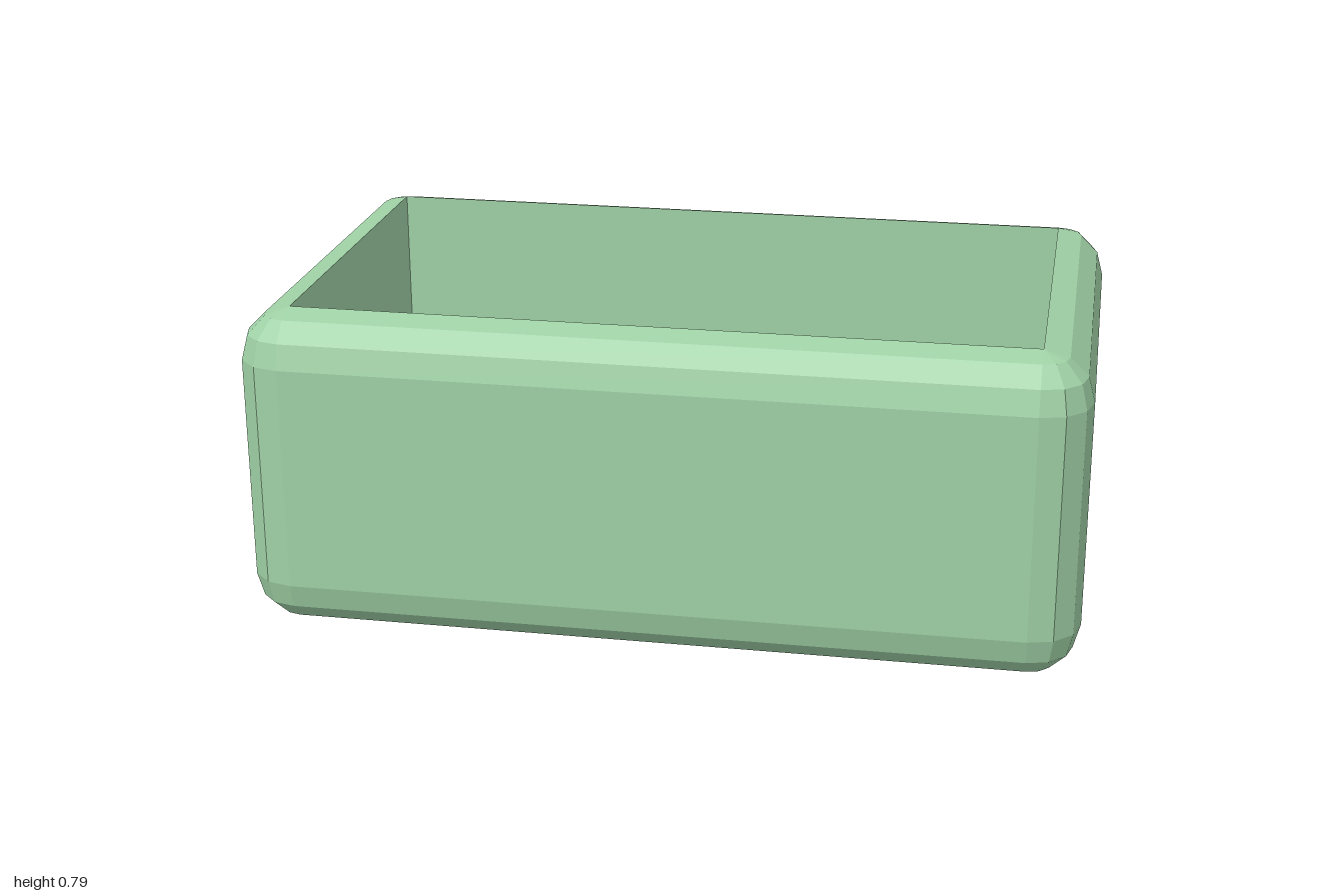
import * as THREE from 'three';

const ARC = 3; // facets per rounded edge

// Horizontal ring of a box with rounded corners (counter-clockwise seen from above)
function ring(halfX, halfZ, radius, y) {
  const points = [];
  const corners = [[1, 1], [1, -1], [-1, -1], [-1, 1]];
  corners.forEach(([sx, sz], c) => {
    for (let i = 0; i <= ARC; i++) {
      const a = ((c - 1) + i / ARC) * Math.PI / 2;
      points.push(new THREE.Vector3(
        sx * (halfX - radius) + radius * Math.cos(a), y,
        sz * (halfZ - radius) - radius * Math.sin(a)));
    }
  });
  return points;
}

// Rings from the flat underside to the flat top of a rounded box
function roundedRings(w, h, d, r) {
  const rings = [];
  for (const top of [false, true]) {
    for (let i = 0; i <= ARC; i++) {
      const a = (top ? i : i - ARC) / ARC * Math.PI / 2;
      const k = r * Math.cos(a);
      const y = (top ? h - r : r) + r * Math.sin(a);
      rings.push(ring(w / 2 - r + k, d / 2 - r + k, k, y));
    }
  }
  return rings;
}

// Skin a stack of rings and cap both ends, skipping collapsed triangles
function loft(rings) {
  const pos = [];
  const tri = (a, b, c) => {
    const area = new THREE.Triangle(a, b, c).getArea();
    if (area > 1e-8) for (const p of [a, b, c]) pos.push(p.x, p.y, p.z);
  };
  const n = rings[0].length;
  for (let j = 0; j < rings.length - 1; j++) {
    const lo = rings[j], hi = rings[j + 1];
    for (let i = 0; i < n; i++) {
      const k = (i + 1) % n;
      tri(lo[i], lo[k], hi[k]);
      tri(lo[i], hi[k], hi[i]);
    }
  }
  const first = rings[0], last = rings[rings.length - 1];
  for (let i = 1; i < n - 1; i++) {
    tri(first[0], first[i + 1], first[i]);
    tri(last[0], last[i], last[i + 1]);
  }
  const geo = new THREE.BufferGeometry();
  geo.setAttribute('position', new THREE.Float32BufferAttribute(pos, 3));
  geo.computeVertexNormals();
  return geo;
}

function part(name, geometry, color) {
  const mesh = new THREE.Mesh(geometry,
    new THREE.MeshStandardMaterial({ color, flatShading: true }));
  mesh.name = name;
  return mesh;
}

export function createModel() {
  const model = new THREE.Group();
  model.name = 'beddedBox';

  const W = 2, H = 0.79, D = 1.21, R = 0.12, FLOOR = 0.27;

  // Rounded outer shell that turns in at the rim and drops to the cavity floor
  const shellRings = roundedRings(W, H, D, R);
  shellRings.push(ring(W / 2 - R, D / 2 - R, 0, FLOOR - 0.02));
  model.add(part('shell', loft(shellRings), 0x9fd0a5));

  // Grey panel lining the bottom of the cavity
  const floor = part('floorPanel',
    new THREE.BoxGeometry(W - 2 * R, 0.02, D - 2 * R), 0xcccccc);
  floor.position.y = FLOOR - 0.01;
  model.add(floor);

  // Pillow against the end wall
  const pillow = part('pillow', loft(roundedRings(0.49, 0.18, 0.73, 0.09)), 0x7acbbe);
  pillow.position.set(-0.655, 0.24, 0);
  model.add(pillow);

  return model;
}
